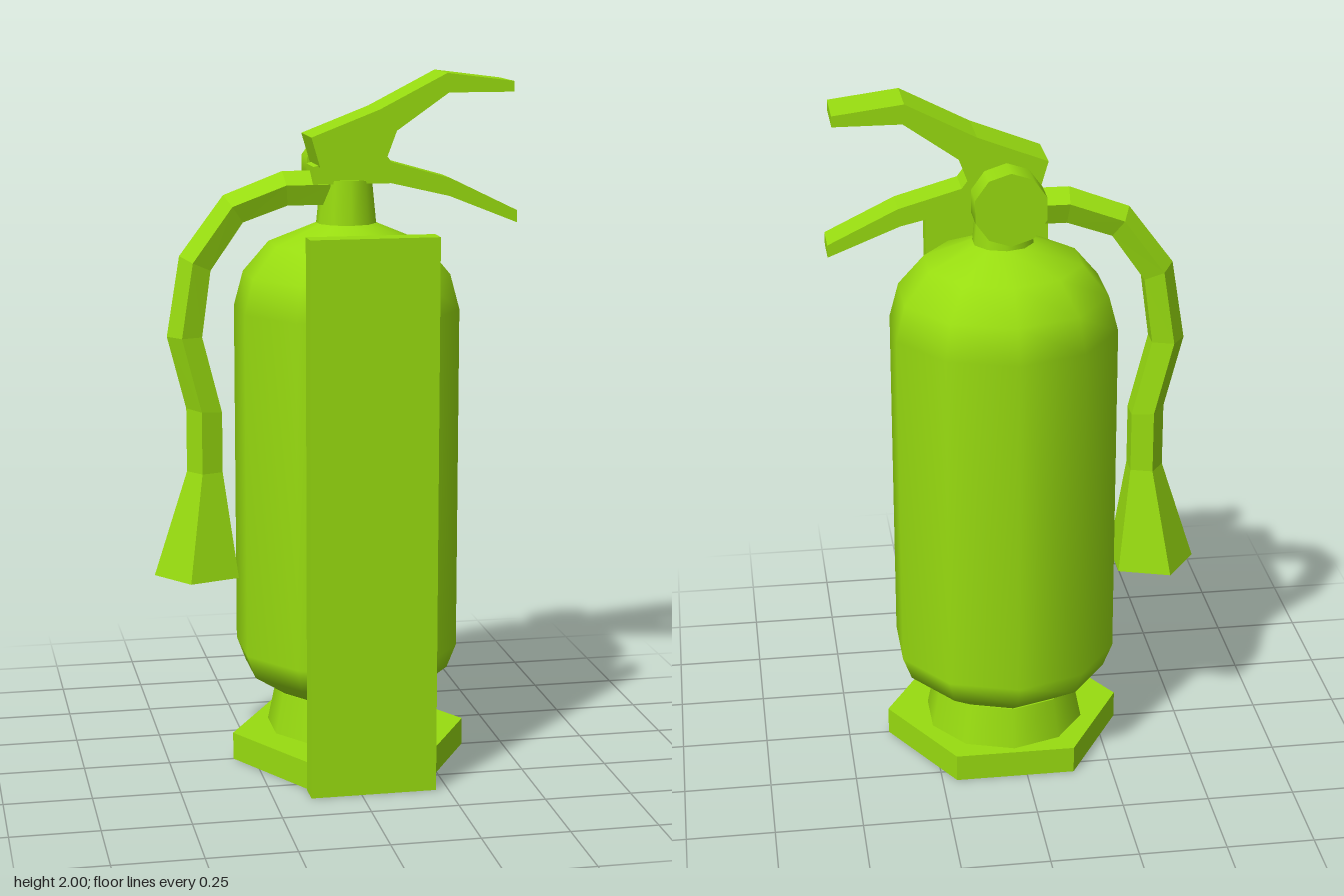
import * as THREE from 'three';

const CX = 0.035, CZ = -0.043; // axis of the cylinder

export function createModel() {
  const group = new THREE.Group();
  const color = 0x98dc10;
  const flat = new THREE.MeshStandardMaterial({ color, flatShading: true });
  const smooth = new THREE.MeshStandardMaterial({ color });
  const smoothOpen = new THREE.MeshStandardMaterial({ color, side: THREE.DoubleSide });

  const add = (name, geometry, material, x = 0, y = 0, z = 0) => {
    const mesh = new THREE.Mesh(geometry, material);
    mesh.name = name;
    mesh.position.set(x, y, z);
    group.add(mesh);
    return mesh;
  };
  const lathe = (points) =>
    new THREE.LatheGeometry(points.map(([r, y]) => new THREE.Vector2(r, y)), 10);
  // Side outline extruded along z
  const slab = (points, depth) =>
    new THREE.ExtrudeGeometry(new THREE.Shape(points.map(([x, y]) => new THREE.Vector2(x, y))),
      { depth, bevelEnabled: false });

  // Stand: hexagonal plate and upright wall
  add('basePlate', new THREE.CylinderGeometry(0.346, 0.346, 0.08, 6).rotateY(Math.PI / 2),
    flat, CX, 0.04, 0);
  add('frontPanel', new THREE.BoxGeometry(0.36, 1.58, 0.068), flat, CX, 0.79, 0.335);

  // Ten-sided tank with its foot and neck
  add('footRing', new THREE.CylinderGeometry(0.21, 0.235, 0.12, 10), smooth, CX, 0.138, CZ);
  add('tank', lathe([[0.2, 0.195], [0.3, 0.26], [0.327, 0.33], [0.327, 1.33],
    [0.3, 1.43], [0.225, 1.518], [0.086, 1.575]]), smoothOpen, CX, 0, CZ);
  add('tankBottom', new THREE.CircleGeometry(0.2, 10, Math.PI / 10).rotateX(Math.PI / 2),
    flat, CX, 0.195, CZ);
  add('neck', new THREE.CylinderGeometry(0.074, 0.087, 0.13, 10), smooth, CX, 1.635, CZ);

  // Handle and squeeze lever
  add('lowerHandle', slab([[-0.07, 1.69], [0.155, 1.69], [0.325, 1.65], [0.525, 1.57],
    [0.525, 1.605], [0.33, 1.70], [0.155, 1.75], [0.125, 1.79], [-0.07, 1.74]], 0.112),
  flat, 0, 0, CZ - 0.056);
  add('upperLever', slab([[-0.055, 1.74], [0, 1.742], [0.135, 1.76], [0.165, 1.84],
    [0.315, 1.945], [0.505, 1.945], [0.505, 1.975], [0.31, 2], [0.115, 1.9], [-0.08, 1.825]], 0.16),
  flat, 0, 0, CZ - 0.08);

  // Pressure gauge on the back
  add('gauge', new THREE.CylinderGeometry(0.103, 0.103, 0.094, 10).rotateX(Math.PI / 2),
    smooth, CX, 1.722, -0.17);

  // Hose and flared nozzle
  add('hose', hoseGeometry(), flat, 0, 0, CZ);
  return group;
}

// Pentagon sections, each given by its outer corner and the middle of its inner edge
function hoseGeometry() {
  const rows = [
    [-0.53, 0.56, -0.295, 0.56], [-0.432, 0.865, -0.333, 0.865],
    [-0.432, 1.05, -0.333, 1.04], [-0.485, 1.26, -0.388, 1.26],
    [-0.447, 1.49, -0.362, 1.45], [-0.32, 1.66, -0.268, 1.585],
    [-0.15, 1.725, -0.14, 1.63], [-0.02, 1.725, -0.02, 1.63],
  ];
  const pos = [], idx = [], n = 5, last = (rows.length - 1) * n;
  rows.forEach(([ox, oy, ix, iy], i) => {
    const cx = ox + (ix - ox) * 0.553, cy = oy + (iy - oy) * 0.553;
    const ux = ox - cx, uy = oy - cy, r = Math.hypot(ux, uy);
    for (let j = 0; j < n; j++) {
      const a = (j / n) * Math.PI * 2;
      pos.push(cx + ux * Math.cos(a), cy + uy * Math.cos(a), r * Math.sin(a));
      if (i < rows.length - 1) {
        const p = i * n + j, q = i * n + (j + 1) % n;
        idx.push(p, q, p + n, q, q + n, p + n);
      }
    }
  });
  // End caps
  for (let j = 1; j < n - 1; j++) idx.push(0, j + 1, j, last, last + j, last + j + 1);
  const g = new THREE.BufferGeometry();
  g.setAttribute('position', new THREE.Float32BufferAttribute(pos, 3));
  g.setIndex(idx);
  g.computeVertexNormals();
  return g;
}
